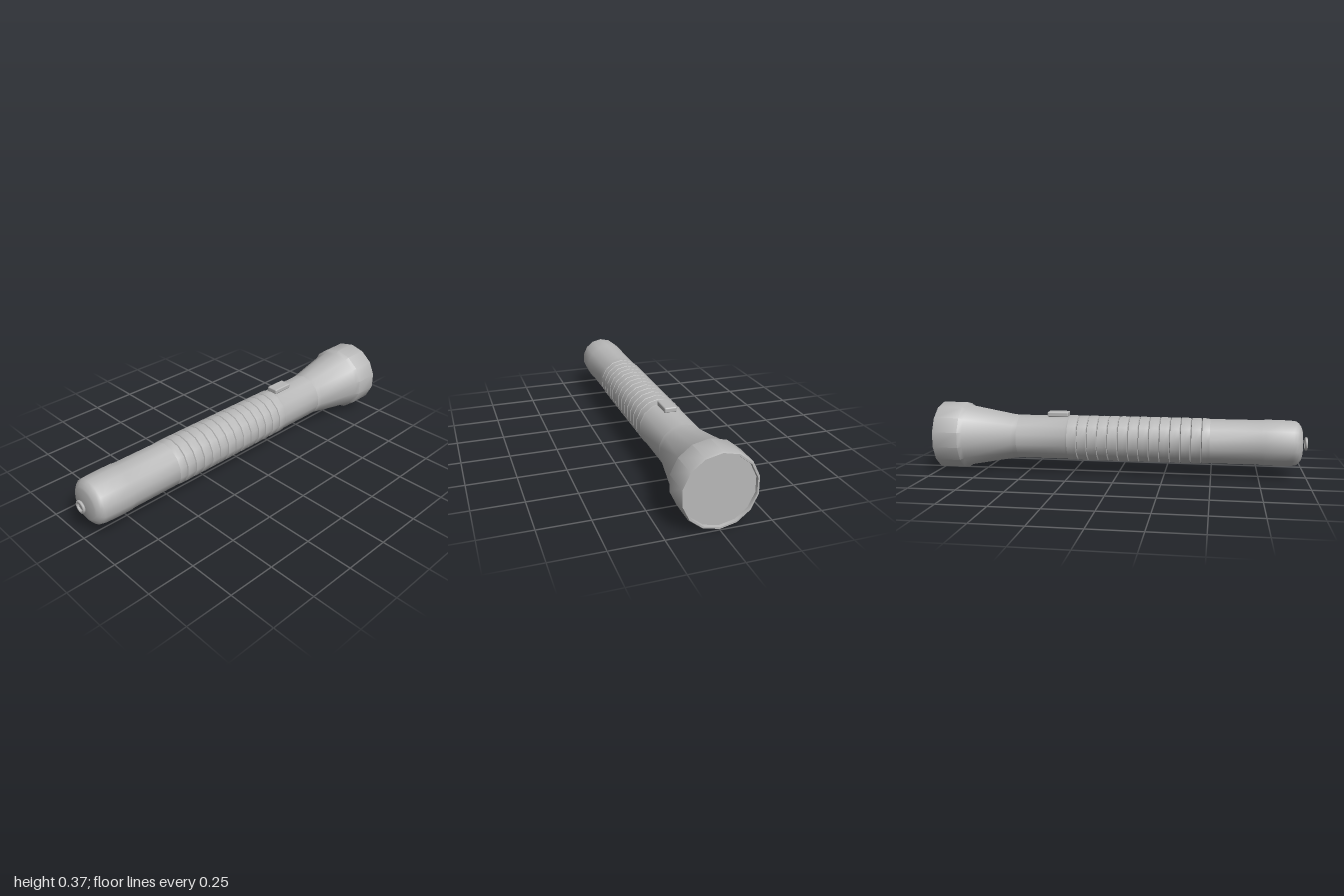
import * as THREE from 'three';
import { toCreasedNormals } from 'three/addons/utils/BufferGeometryUtils.js';
import { RoundedBoxGeometry } from 'three/addons/geometries/RoundedBoxGeometry.js';

const SIDES = 14;
const AXIS_Y = 0.186;

export function createModel() {
  const group = new THREE.Group();
  const grey = new THREE.MeshStandardMaterial({ color: 0xb8b8b8 });

  const add = (name, geometry, y = AXIS_Y, z = 0) => {
    const mesh = new THREE.Mesh(geometry, grey);
    mesh.name = name;
    mesh.position.set(0, y, z);
    group.add(mesh);
  };

  // Turned part along z; profile is [radius, z] with z rising along the outside
  const turned = (name, profile) => {
    const points = profile.map(([r, z]) => new THREE.Vector2(r, z));
    const geometry = new THREE.LatheGeometry(points, SIDES).rotateX(Math.PI / 2);
    add(name, toCreasedNormals(geometry, 0.7));
  };

  // Lamp head with a recessed lens, rim, collar and tapering neck
  turned('lens', [[0, -0.985], [0.17, -0.985]]);
  turned('head', [
    [0.17, -0.985], [0.172, -1], [0.18, -1], [0.185, -0.99], [0.185, -0.86],
    [0.17, -0.838], [0.123, -0.58], [0.121, -0.55],
  ]);

  // Plain barrel between the neck and the grip
  turned('barrel', [[0.121, -0.55], [0.121, -0.28], [0.124, -0.27]]);

  // Ribbed grip: repeated bands separated by narrow grooves
  const ribs = [];
  const count = 13, start = -0.27, pitch = 0.0555;
  for (let i = 0; i < count; i++) {
    const z = start + i * pitch;
    ribs.push([0.124, z], [0.125, z + pitch * 0.45], [0.124, z + pitch - 0.007], [0.117, z + pitch - 0.0035]);
  }
  const end = start + count * pitch;
  ribs.push([0.124, end], [0.124, end + 0.02], [0.121, end + 0.04]);
  turned('grip', ribs);

  // Rear barrel and rounded tail cap
  turned('tail', [
    [0.121, end + 0.04], [0.121, 0.76], [0.124, 0.78], [0.124, 0.86], [0.121, 0.92],
    [0.118, 0.938], [0.107, 0.953], [0.09, 0.965], [0.078, 0.969], [0, 0.971],
  ]);

  // Lanyard ring behind the cap
  add('lanyardRing', new THREE.TorusGeometry(0.0285, 0.0075, 8, 10), AXIS_Y, 0.9925);

  // Sliding switch on top
  add('switch', new RoundedBoxGeometry(0.064, 0.028, 0.115, 2, 0.007), 0.316, -0.335);

  return group;
}
